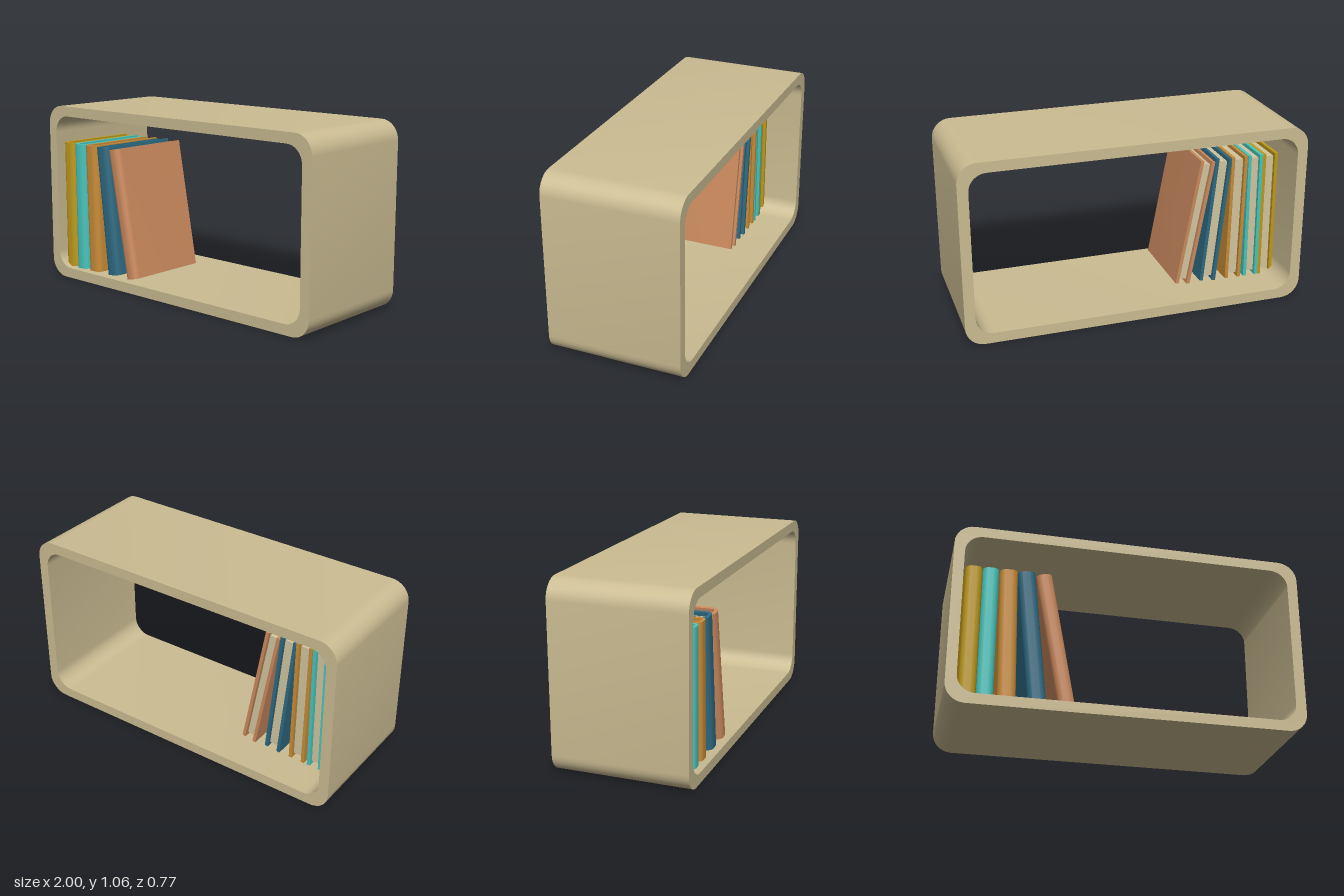
import * as THREE from 'three';
import { toCreasedNormals } from 'three/addons/utils/BufferGeometryUtils.js';

const mat = (name, color) => {
  const m = new THREE.MeshStandardMaterial({ color });
  m.name = name;
  return m;
};

// Trace a rounded rectangle into a Shape or Path
function roundedRect(path, x0, y0, x1, y1, r) {
  path.moveTo(x0 + r, y0);
  path.lineTo(x1 - r, y0);
  path.absarc(x1 - r, y0 + r, r, -Math.PI / 2, 0);
  path.lineTo(x1, y1 - r);
  path.absarc(x1 - r, y1 - r, r, 0, Math.PI / 2);
  path.lineTo(x0 + r, y1);
  path.absarc(x0 + r, y1 - r, r, Math.PI / 2, Math.PI);
  path.lineTo(x0, y0 + r);
  path.absarc(x0 + r, y0 + r, r, Math.PI, Math.PI * 1.5);
  return path;
}

function extrude(shape, depth, curveSegments) {
  const geo = new THREE.ExtrudeGeometry(shape, { depth, bevelEnabled: false, curveSegments });
  return toCreasedNormals(geo, 0.7);
}

const BACK = -0.17, FRONT = 0.35, BOARD = 0.02;

// One book: U-shaped cover with rounded spine, and a recessed page block.
// Its pivot is the bottom corner on the -x side.
function makeBook(name, w, h, cover, paper) {
  const book = new THREE.Group();
  book.name = name;

  // Cover section, drawn with shape y = -z, then stood upright
  const r = 0.035, ri = r - BOARD;
  const s = new THREE.Shape();
  s.moveTo(0, -BACK);
  s.lineTo(0, -FRONT + r);
  s.absarc(r, -FRONT + r, r, Math.PI, Math.PI * 1.5);
  s.lineTo(w - r, -FRONT);
  s.absarc(w - r, -FRONT + r, r, -Math.PI / 2, 0);
  s.lineTo(w, -BACK);
  s.lineTo(w - BOARD, -BACK);
  s.lineTo(w - BOARD, -FRONT + r);
  s.absarc(w - r, -FRONT + r, ri, 0, -Math.PI / 2, true);
  s.lineTo(r, -FRONT + BOARD);
  s.absarc(r, -FRONT + r, ri, -Math.PI / 2, -Math.PI, true);
  s.lineTo(BOARD, -BACK);
  const coverMesh = new THREE.Mesh(extrude(s, h, 5).rotateX(-Math.PI / 2), cover);
  coverMesh.name = 'cover';

  // Pages, set in from the top, bottom and open edge
  const inset = 0.022, z0 = BACK + inset, z1 = FRONT - BOARD - 0.001;
  const pages = new THREE.Mesh(
    new THREE.BoxGeometry(w - 2 * BOARD, h - 2 * inset, z1 - z0), paper);
  pages.position.set(w / 2, h / 2, (z0 + z1) / 2);
  pages.name = 'pages';

  book.add(coverMesh, pages);
  return book;
}

export function createModel() {
  const model = new THREE.Group();
  model.name = 'bookShelf';

  // Open shelf box: rounded frame with a rounded opening through it
  const D = 0.77, H = 1.06, T = 0.06;
  const frame = roundedRect(new THREE.Shape(), -1, 0, 1, H, 0.11);
  frame.holes.push(roundedRect(new THREE.Path(), -1 + T, T, 1 - T, H - T, 0.1));
  const shelf = new THREE.Mesh(
    extrude(frame, D, 4).translate(0, 0, -D / 2), mat('paleWood', 0xcbbc92));
  shelf.name = 'shelfFrame';
  model.add(shelf);

  // Books from left to right: name, colour, x, width, lean in degrees
  const paper = mat('paper', 0xd2c6a0);
  const books = [
    ['yellowBook', 0xbf9a1c, -0.925, 0.095, 0],
    ['tealBook', 0x48c5bc, -0.83, 0.092, 0],
    ['orangeBook', 0xc98c38, -0.718, 0.1, 1.2],
    ['blueBook', 0x2e6a82, -0.555, 0.1, 6],
    ['tanBook', 0xcb8a5e, -0.39, 0.09, 10.5],
  ];
  for (const [name, color, x, w, lean] of books) {
    const book = makeBook(name, w, 0.77, mat(name + 'Cover', color), paper);
    book.position.set(x, T + 0.004, 0);
    book.rotation.z = THREE.MathUtils.degToRad(lean);
    model.add(book);
  }
  return model;
}
